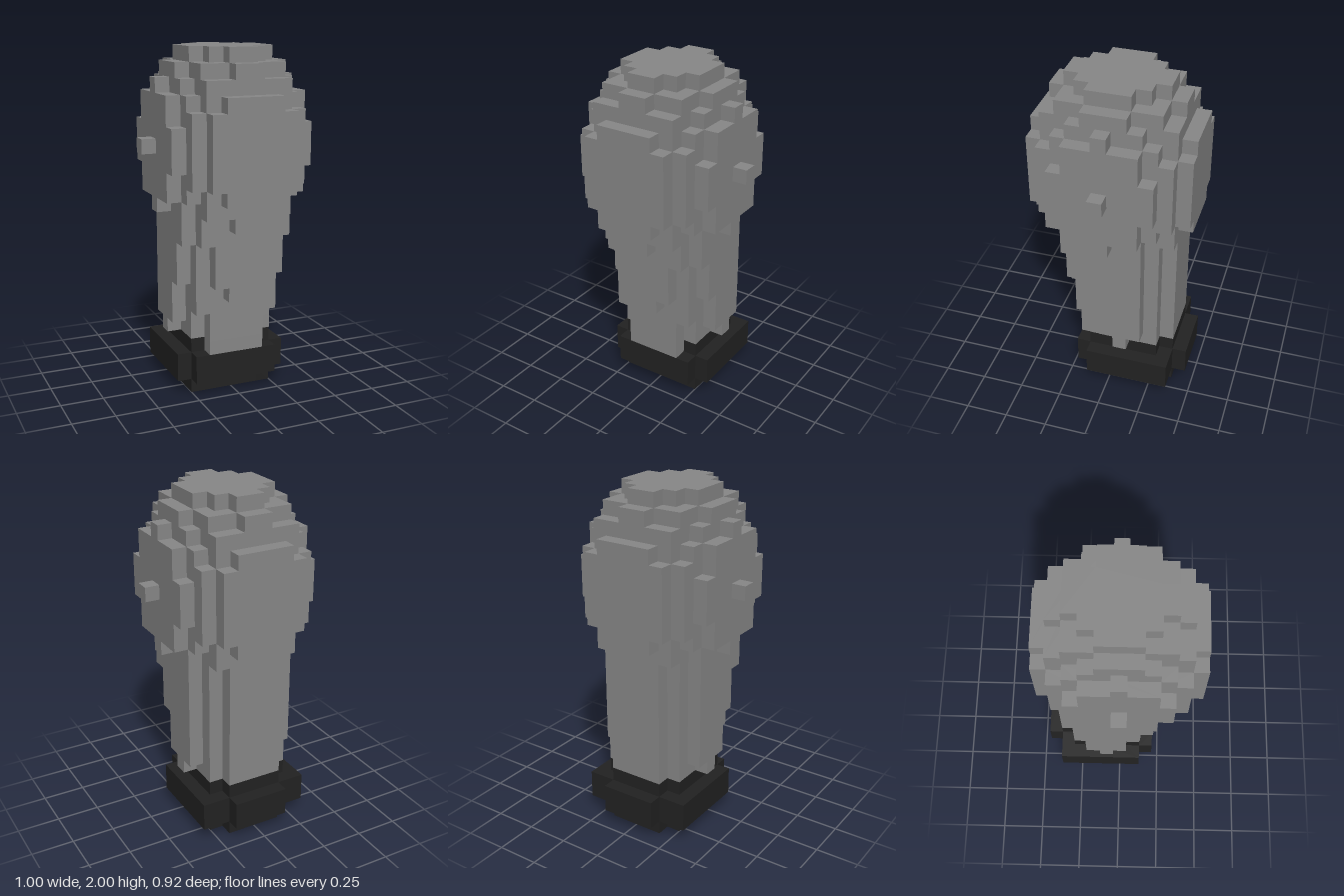
import * as THREE from 'three';

const U = 1 / 12; // size of one block

// Stepped, left-right symmetric slab. steps: [halfWidth, zFront, zBack], narrow to wide.
function slab(y0, y1, steps, material) {
  const half = [];
  const add = (x, z) => {
    const last = half[half.length - 1];
    if (!last || last[0] !== x || last[1] !== z) half.push([x, z]);
  };
  const n = steps.length;
  for (let i = 0; i < n; i++) {
    add(steps[i][0], steps[i][1]);
    if (i < n - 1) add(steps[i][0], steps[i + 1][1]);
  }
  for (let i = n - 1; i >= 0; i--) {
    if (i < n - 1) add(steps[i][0], steps[i + 1][2]);
    add(steps[i][0], steps[i][2]);
  }
  const mirrored = half.map(([x, z]) => [-x, z]).reverse();
  const outline = [...half, ...mirrored].map(([x, z]) => new THREE.Vector2(x * U, -z * U));
  const geometry = new THREE.ExtrudeGeometry(new THREE.Shape(outline), {
    depth: (y1 - y0) * U, bevelEnabled: false,
  });
  geometry.rotateX(-Math.PI / 2).translate(0, y0 * U, 0);
  return new THREE.Mesh(geometry, material);
}

function part(name, bands, material) {
  const group = new THREE.Group();
  group.name = name;
  bands.forEach(([y0, y1, steps], i) => {
    const mesh = slab(y0, y1, steps, material);
    mesh.name = `${name}Layer${i + 1}`;
    group.add(mesh);
  });
  return group;
}

// Mirror a step list front to back
const round = (...steps) => steps.map(([w, z]) => [w, z, -z]);

export function createModel() {
  const grey = new THREE.MeshStandardMaterial({ color: 0x888888 });
  grey.name = 'grey';
  const black = new THREE.MeshStandardMaterial({ color: 0x222222 });
  black.name = 'black';

  const model = new THREE.Group();
  model.name = 'blockStatue';

  // Black plinth with notched corners
  const core = [[2, 1.5, -4.5], [3, 1.5, -3.5]];
  model.add(part('base', [
    [0, 1, core],
    [1, 3, [[2, 2.5, -5.5], [3, 2.5, -4.5], [4, 1.5, -4.5]]],
    [3, 4, core],
  ], black));

  // Column, flat at the back and stepping forward as it rises
  model.add(part('column', [
    [3, 4, [[2, 2.5, 1.5]]],
    [4, 5, [[2, 2.5, -4.5], [3, 1.5, -3.5], [4, -0.5, -1.5]]],
    [5, 6, [[2, 2.5, -4.5], [3, 1.5, -3.5], [4, 0.5, -2.5]]],
    [6, 7, [[2, 2.5, -4.5], [3, 2.5, -3.5], [4, 0.5, -2.5]]],
    [7, 8, [[1, 3.5, -4.5], [3, 2.5, -3.5], [4, 0.5, -2.5]].toSpliced(1, 0, [2, 2.5, -4.5])],
    [8, 11, [[2, 3.5, -4.5], [3, 2.5, -3.5], [4, 1.5, -2.5]]],
    [11, 12, [[2, 3.5, -4.5], [3, 3.5, -3.5], [4, 2.5, -2.5]]],
    [12, 13, [[1, 4.5, -4.5], [2, 3.5, -4.5], [3, 3.5, -3.5], [4, 2.5, -2.5]]],
  ], grey));

  // Rounded head
  const lower = round([2, 5.5], [3, 4.5], [4, 3.5], [5, 2.5]);
  const middle = round([3, 5.5], [4, 4.5], [5, 2.5]);
  const tapered = round([3, 4.5], [4, 2.5], [5, 0.5]);
  model.add(part('head', [
    [13, 14, tapered],
    [14, 15, lower],
    [15, 16, middle],
    [16, 19, round([3, 5.5], [4, 4.5], [5, 3.5])],
    [19, 20, middle],
    [20, 21, lower],
    [21, 22, tapered],
    [22, 23, round([1, 4.5], [3, 3.5], [4, 1.5])],
    [23, 24, round([1, 3.5], [2, 2.5], [3, 1.5])],
  ], grey));

  // Small peg on each side of the head
  for (const side of [1, -1]) {
    const peg = new THREE.Mesh(new THREE.BoxGeometry(U, U, U), grey);
    peg.name = side > 0 ? 'leftPeg' : 'rightPeg';
    peg.position.set(side * 5.5 * U, 17.5 * U, 0);
    model.add(peg);
  }
  return model;
}
